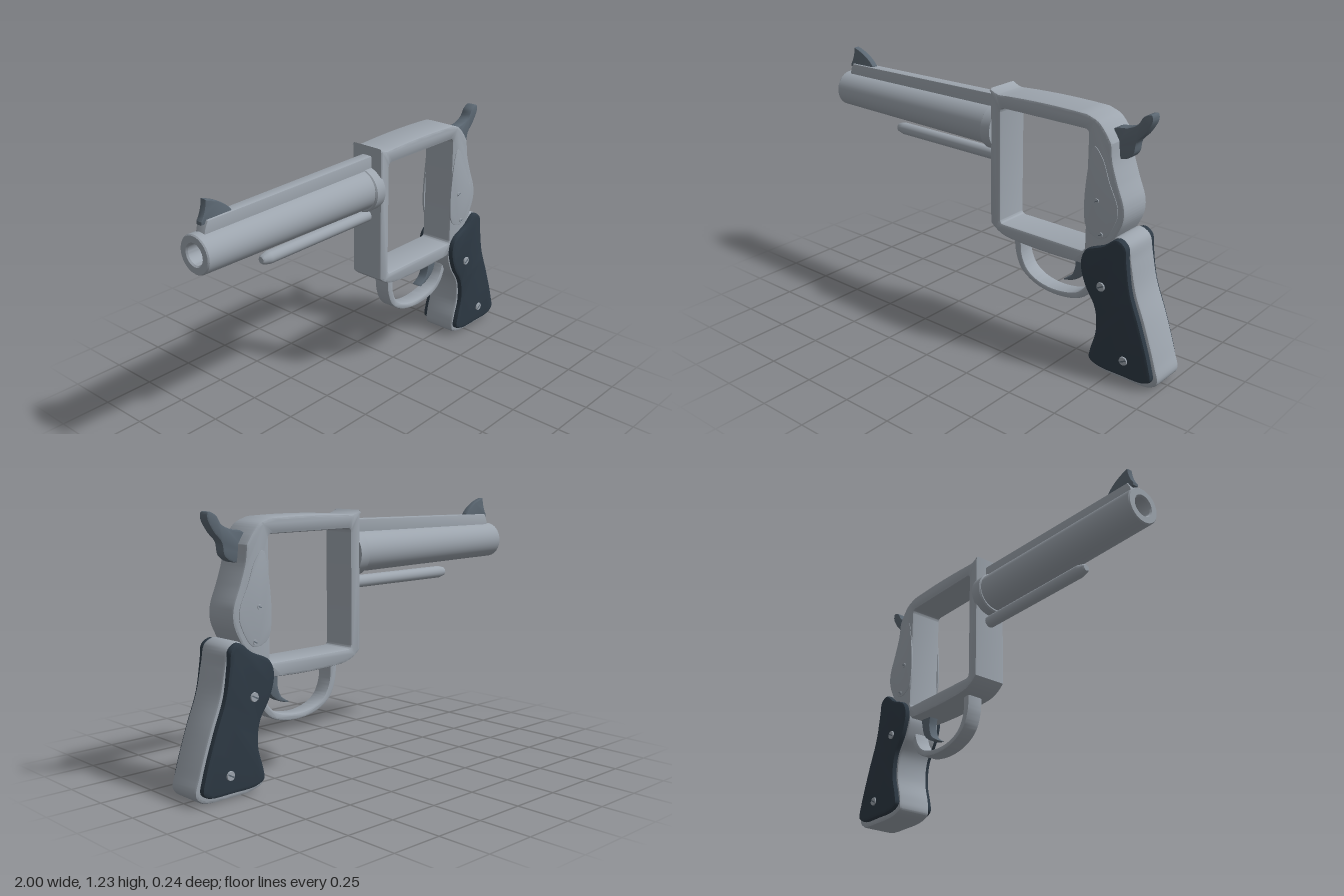
import * as THREE from 'three';
import { toCreasedNormals } from 'three/addons/utils/BufferGeometryUtils.js';

const steel = new THREE.MeshStandardMaterial({ color: 0x9da5ae });
const darkSteel = new THREE.MeshStandardMaterial({ color: 0x5c6873 });
const gripMat = new THREE.MeshStandardMaterial({ color: 0x2e3a45 });

const vec = (pts) => pts.map(([x, y]) => new THREE.Vector2(x, y));

// Smooth closed outline through a few points
function blob(pts, n = 72) {
  const c = new THREE.CatmullRomCurve3(pts.map(([x, y]) => new THREE.Vector3(x, y, 0)), true, 'centripetal');
  return new THREE.Shape(c.getPoints(n).slice(0, n).map((p) => new THREE.Vector2(p.x, p.y)));
}

// Extrude between two depths with bevels kept inside the outline
function slab(shape, z0, z1, bevel) {
  const g = new THREE.ExtrudeGeometry(shape, {
    depth: z1 - z0 - 2 * bevel, bevelEnabled: bevel > 0, bevelThickness: bevel,
    bevelSize: bevel, bevelOffset: -bevel, bevelSegments: 2, curveSegments: 10,
  });
  g.translate(0, 0, z0 + bevel);
  return toCreasedNormals(g, 0.5);
}

// Turned part along -x, from [radius, distance] pairs
function turned(profile, x, y, segs = 40) {
  const g = new THREE.LatheGeometry(vec(profile), segs);
  g.rotateZ(Math.PI / 2);
  g.translate(x, y, 0);
  return toCreasedNormals(g, 0.6);
}

export function createModel() {
  const model = new THREE.Group();
  const add = (name, geo, mat = steel, parent = model) => {
    const m = new THREE.Mesh(geo, mat);
    m.name = name;
    parent.add(m);
    return m;
  };

  // Frame with its rectangular cylinder window
  const frame = new THREE.Shape();
  frame.moveTo(0.04, 1.21);
  frame.lineTo(0.04, 0.555);
  frame.quadraticCurveTo(0.09, 0.505, 0.16, 0.5);
  frame.quadraticCurveTo(0.36, 0.485, 0.57, 0.5);
  frame.lineTo(0.7, 0.6);
  frame.splineThru(vec([[0.755, 0.69], [0.783, 0.76], [0.78, 0.83], [0.745, 0.92], [0.715, 1.01], [0.705, 1.09]]));
  frame.splineThru(vec([[0.675, 1.135], [0.635, 1.175], [0.575, 1.197]]));
  frame.quadraticCurveTo(0.33, 1.207, 0.09, 1.19);
  frame.quadraticCurveTo(0.06, 1.195, 0.04, 1.21);
  const [l, r, b, t, k] = [0.1, 0.585, 0.565, 1.127, 0.02];
  const hole = new THREE.Path();
  hole.moveTo(l + k, b);
  hole.lineTo(r - k, b);
  hole.quadraticCurveTo(r, b, r, b + k);
  hole.lineTo(r, t - k);
  hole.quadraticCurveTo(r, t, r - k, t);
  hole.lineTo(l + k, t);
  hole.quadraticCurveTo(l, t, l, t - k);
  hole.lineTo(l, b + k);
  hole.quadraticCurveTo(l, b, l + k, b);
  frame.holes.push(hole);
  add('frame', slab(frame, -0.088, 0.088, 0.012));

  // Barrel with open bore, collar and ejector rod
  add('barrel', turned([[0.098, -0.02], [0.088, 0.994], [0.083, 1], [0.053, 1], [0.047, 0.992], [0.047, 0.5], [0, 0.5]], 0, 1.01));
  add('barrelCollar', turned([[0, -0.05], [0.107, -0.05], [0.107, 0.004], [0.1, 0.01], [0, 0.01]], 0, 1.005));
  add('ejectorRod', turned([[0.03, -0.06], [0.03, 0.6], [0.022, 0.635], [0.015, 0.643], [0, 0.643]], 0, 0.865, 20));

  // Top rib and front sight
  const rib = new THREE.Shape(vec([[-0.97, 1.06], [0.05, 1.06], [0.05, 1.165], [-0.1, 1.163], [-0.94, 1.148], [-0.955, 1.12]]));
  add('topRib', slab(rib, -0.027, 0.027, 0.004));
  const sight = new THREE.Shape();
  sight.moveTo(-0.965, 1.13);
  sight.lineTo(-0.8, 1.13);
  sight.lineTo(-0.805, 1.155);
  sight.quadraticCurveTo(-0.85, 1.21, -0.935, 1.232);
  sight.quadraticCurveTo(-0.94, 1.18, -0.965, 1.145);
  add('frontSight', slab(sight, -0.016, 0.016, 0.004), darkSteel);

  // Trigger guard and trigger
  const guard = new THREE.Shape();
  guard.moveTo(0.15, 0.51);
  guard.splineThru(vec([[0.158, 0.42], [0.195, 0.34], [0.28, 0.288], [0.4, 0.27], [0.52, 0.29], [0.59, 0.345], [0.63, 0.45]]));
  guard.lineTo(0.6, 0.46);
  guard.splineThru(vec([[0.57, 0.375], [0.51, 0.32], [0.4, 0.298], [0.3, 0.31], [0.23, 0.35], [0.195, 0.42], [0.19, 0.51]]));
  add('triggerGuard', slab(guard, -0.042, 0.042, 0.008));
  const trigger = blob([[0.49, 0.54], [0.495, 0.45], [0.475, 0.39], [0.43, 0.355], [0.48, 0.365], [0.535, 0.405], [0.558, 0.47], [0.565, 0.54]], 48);
  add('trigger', slab(trigger, -0.025, 0.025, 0.006), darkSteel);

  // Hammer with its raised spur
  const hammer = blob([[0.63, 1.09], [0.68, 1.142], [0.745, 1.155], [0.79, 1.178], [0.815, 1.215], [0.855, 1.231],
    [0.862, 1.205], [0.83, 1.145], [0.79, 1.1], [0.775, 1.04], [0.72, 1.01], [0.65, 1.03]]);
  add('hammer', slab(hammer, -0.028, 0.028, 0.007), darkSteel);

  // Grip core
  const core = blob([[0.76, 0.683], [0.815, 0.66], [0.835, 0.58], [0.865, 0.45], [0.92, 0.31], [0.98, 0.13], [0.999, 0.05],
    [0.96, 0.012], [0.83, 0.003], [0.69, 0.01], [0.637, 0.035], [0.638, 0.1], [0.665, 0.21], [0.655, 0.32],
    [0.597, 0.42], [0.575, 0.51], [0.61, 0.575], [0.69, 0.63]], 96);
  add('gripCore', slab(core, -0.09, 0.09, 0.014));

  // Grip panels, screws and side plates, the same on both sides
  const panel = blob([[0.77, 0.68], [0.815, 0.655], [0.825, 0.59], [0.85, 0.45], [0.903, 0.31], [0.963, 0.13], [0.975, 0.06],
    [0.94, 0.035], [0.82, 0.03], [0.69, 0.035], [0.645, 0.06], [0.65, 0.11], [0.676, 0.21], [0.666, 0.32],
    [0.608, 0.42], [0.582, 0.52], [0.605, 0.585], [0.7, 0.632]], 96);
  const plate = blob([[0.595, 0.68], [0.595, 0.98], [0.622, 1.063], [0.665, 1.02], [0.705, 0.92], [0.75, 0.82], [0.75, 0.76], [0.68, 0.65]], 56);
  for (const s of [1, -1]) {
    const side = new THREE.Group();
    side.name = s > 0 ? 'frontSide' : 'backSide';
    model.add(side);
    const place = (geo) => {
      if (s < 0) {
        // Turned about y, then mirrored back in x by flipping each triangle
        geo.scale(1, 1, -1);
        const g = geo.index ? geo.toNonIndexed() : geo;
        for (const a of Object.values(g.attributes)) {
          const n = a.itemSize;
          for (let i = 0; i < a.count; i += 3) {
            for (let c = 0; c < n; c++) {
              const p = (i + 1) * n + c, q = (i + 2) * n + c;
              [a.array[p], a.array[q]] = [a.array[q], a.array[p]];
            }
          }
        }
        return g;
      }
      return geo;
    };
    add('gripPanel', place(slab(panel, 0.07, 0.114, 0.014)), gripMat, side);
    add('sidePlate', place(slab(plate, 0.08, 0.0905, 0.002)), steel, side);

    const screw = (x, y, radius, z0, z1) => {
      const g = new THREE.CylinderGeometry(radius * 0.8, radius, z1 - z0, 20);
      g.rotateX(Math.PI / 2);
      g.translate(x, y, (z0 + z1) / 2);
      add('screw', place(g), steel, side);
      const slot = new THREE.BoxGeometry(radius * 1.4, radius * 0.25, 0.002);
      slot.rotateZ(0.5);
      slot.translate(x, y, z1);
      add('screwSlot', place(slot), darkSteel, side);
    };
    screw(0.7, 0.437, 0.025, 0.1, 0.12);
    screw(0.835, 0.115, 0.025, 0.1, 0.12);
    screw(0.645, 0.82, 0.014, 0.08, 0.094);
    screw(0.672, 0.67, 0.014, 0.08, 0.094);
  }
  return model;
}
